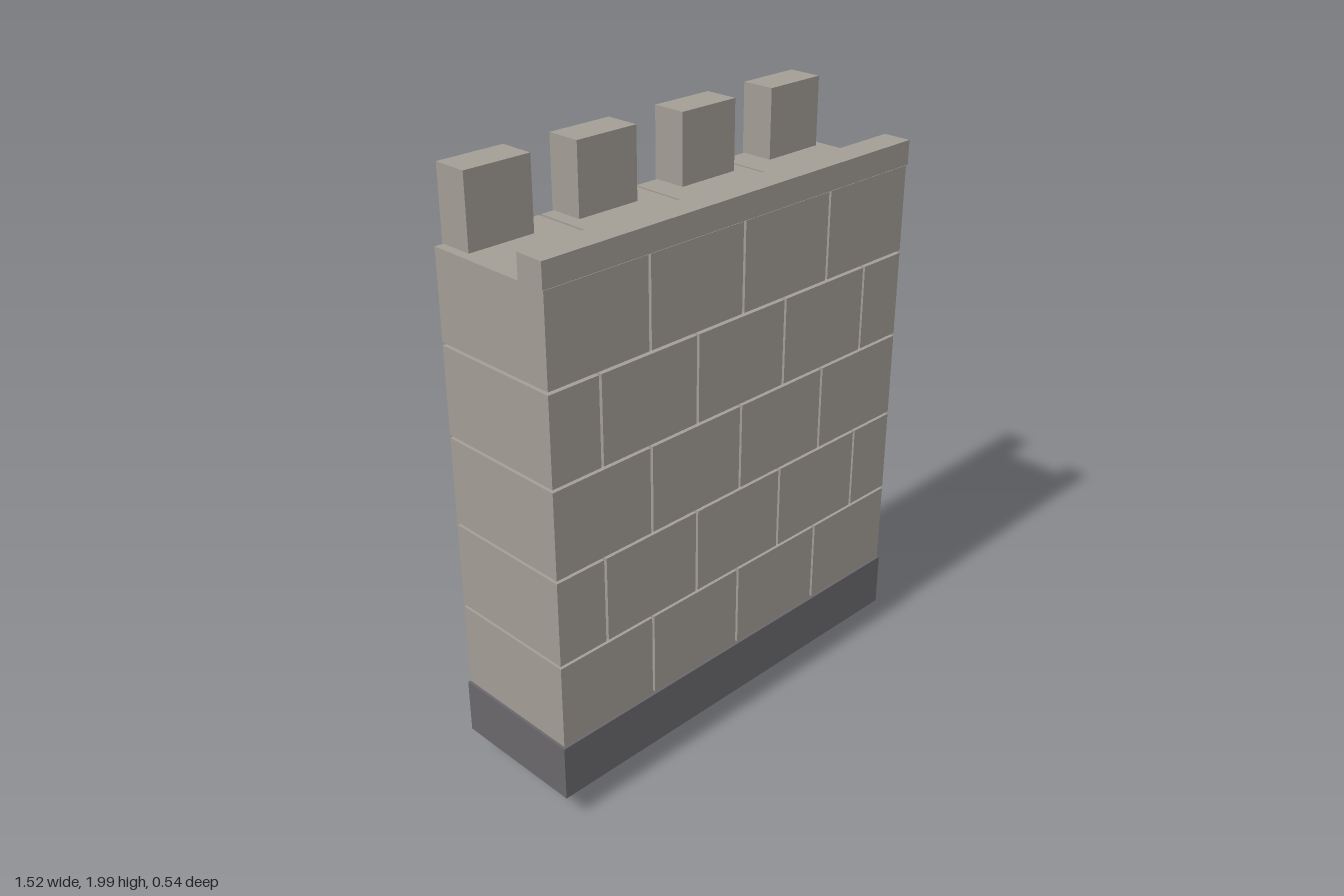
import * as THREE from 'three';
import { ConvexGeometry } from 'three/addons/geometries/ConvexGeometry.js';

const material = (name, color, options = {}) => {
  const m = new THREE.MeshStandardMaterial({ color, ...options });
  m.name = name;
  return m;
};

export function createModel() {
  const wall = new THREE.Group();
  wall.name = 'castleWall';
  const stone = material('stone', 0xa29d95);
  const darkStone = material('dark stone', 0x6a676c);
  const slitGrey = material('slit grey', 0x58585d);
  const leaf = material('leaf green', 0x668f62, { flatShading: true });

  // Box given by its limits on each axis
  const box = (name, mat, [x0, x1], [y0, y1], [z0, z1], parent = wall) => {
    const mesh = new THREE.Mesh(new THREE.BoxGeometry(x1 - x0, y1 - y0, z1 - z0), mat);
    mesh.position.set((x0 + x1) / 2, (y0 + y1) / 2, (z0 + z1) / 2);
    mesh.name = name;
    parent.add(mesh);
  };

  // Plinth
  box('base', darkStone, [-0.76, 0.76], [0.10, 0.29], [-0.2, 0.27]);

  // Five courses of blocks in running bond, with open joints
  const gap = 0.005, pitch = 0.2965;
  const joints = [
    [-0.76, -0.38, 0, 0.38, 0.76],
    [-0.76, -0.57, -0.19, 0.19, 0.57, 0.76],
  ];
  for (let row = 0; row < 5; row++) {
    const course = new THREE.Group();
    course.name = 'stoneCourse';
    wall.add(course);
    const xs = joints[row % 2];
    const y = 0.29 + row * pitch;
    for (let i = 0; i < xs.length - 1; i++) {
      box('stoneBlock', stone, [xs[i] + gap, xs[i + 1] - gap],
        [y + gap, y + pitch - gap], [-0.195, 0.265], course);
    }
  }

  // Parapet along the front, merlons along the back
  box('parapet', stone, [-0.76, 0.76], [1.77, 1.85], [0.17, 0.268]);
  for (const x of [-0.61, -0.212, 0.208, 0.606]) {
    box('merlon', stone, [x - 0.115, x + 0.115], [1.768, 2], [-0.2, -0.082]);
  }

  // Arrow slit plate on the back
  box('arrowSlit', slitGrey, [-0.028, 0.028], [0.93, 1.25], [-0.205, -0.196]);

  // Faceted ivy clump: a rim, a ring on each side and two crowns
  const rim = [
    [0.60, 0.54, -0.21], [0.44, 0.56, -0.2], [0.28, 0.49, -0.205], [0.255, 0.33, -0.205],
    [0.30, 0.16, -0.2], [0.495, 0.01, -0.2], [0.665, 0.08, -0.205], [0.695, 0.32, -0.235],
  ];
  const center = new THREE.Vector3(0.49, 0.31, -0.2);
  const points = [new THREE.Vector3(0.5, 0.33, -0.272), new THREE.Vector3(0.49, 0.3, -0.135)];
  rim.forEach(([x, y, z], i) => {
    const p = new THREE.Vector3(x, y, z);
    points.push(p);
    for (const [scale, depth] of [[0.64 + 0.08 * (i % 2), -0.253], [0.6, -0.152]]) {
      const q = p.clone().lerp(center, 1 - scale);
      q.z = depth;
      points.push(q);
    }
  });
  const ivy = new THREE.Mesh(new ConvexGeometry(points), leaf);
  ivy.name = 'ivyClump';
  wall.add(ivy);

  return wall;
}
